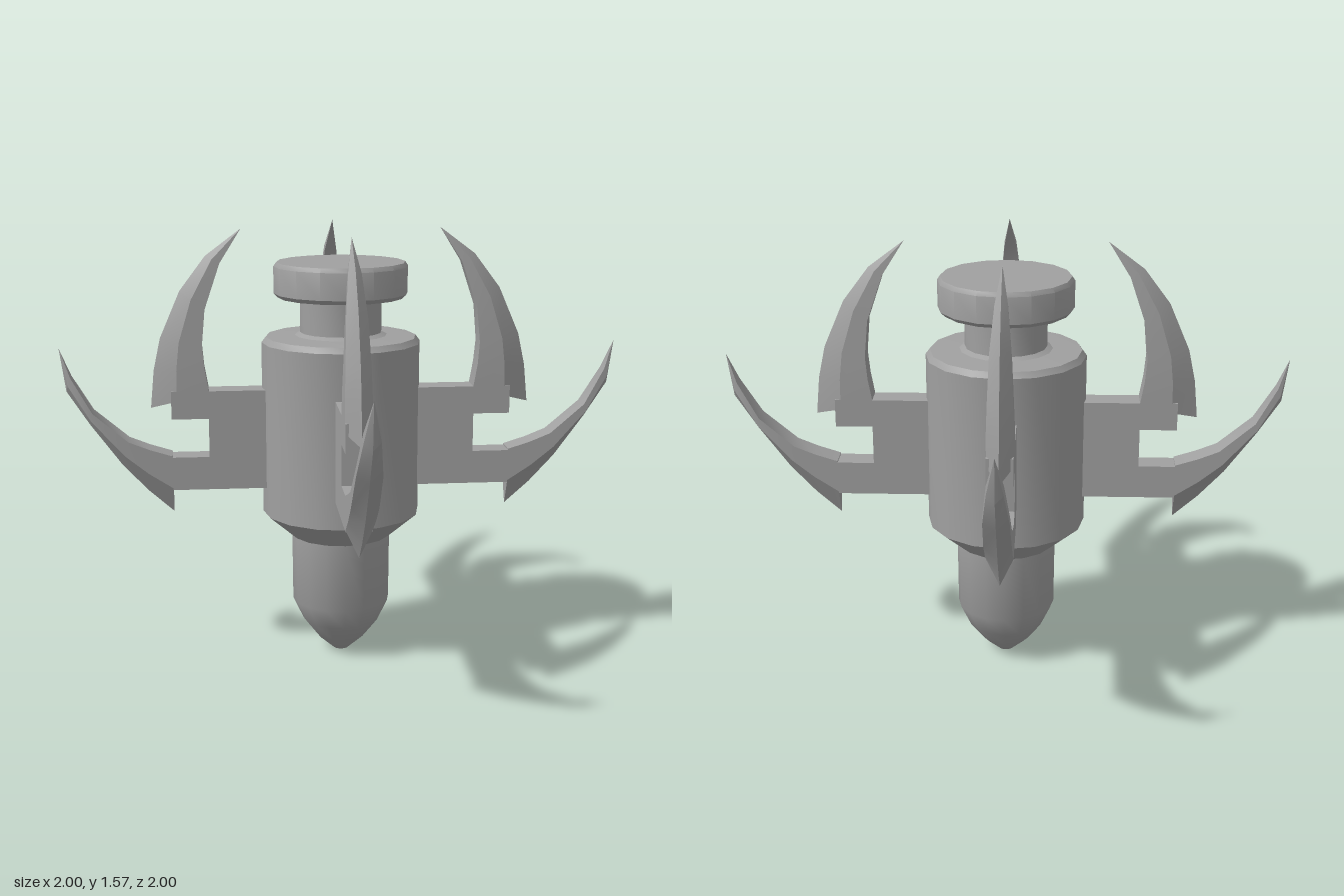
import * as THREE from 'three';
import { toCreasedNormals } from 'three/addons/utils/BufferGeometryUtils.js';

const HALF = 0.045; // half thickness of the arms

// Loft a blade: each section is [innerX, innerY, outerX, outerY, halfThickness].
// The inner edge is flat, the outer edge sharp.
function bladeGeometry(sections) {
  const pos = [], idx = [], n = 5;
  for (const [ix, iy, ox, oy, t] of sections) {
    const mx = ix + (ox - ix) * 0.55, my = iy + (oy - iy) * 0.55;
    pos.push(ix, iy, t, mx, my, t, ox, oy, 0, mx, my, -t, ix, iy, -t);
  }
  for (let s = 0; s < sections.length - 1; s++) {
    for (let k = 0; k < n; k++) {
      const a = s * n + k, b = s * n + (k + 1) % n;
      idx.push(a, b, b + n);
      if (s < sections.length - 2) idx.push(a, b + n, a + n);
    }
  }
  for (let k = 1; k < n - 1; k++) idx.push(0, k + 1, k); // base cap
  const g = new THREE.BufferGeometry();
  g.setAttribute('position', new THREE.Float32BufferAttribute(pos, 3));
  g.setIndex(idx);
  return toCreasedNormals(g, 0.45);
}

const upperBlade = bladeGeometry([
  [0.476, 1.0, 0.683, 0.935, HALF],
  [0.49, 1.08, 0.67, 1.07, HALF],
  [0.497, 1.16, 0.645, 1.185, 0.042],
  [0.485, 1.29, 0.572, 1.353, 0.036],
  [0.43, 1.45, 0.48, 1.475, 0.022],
  [0.353, 1.57, 0.353, 1.57, 0],
]);

const lowerBlade = bladeGeometry([
  [0.61, 0.765, 0.61, 0.55, HALF],
  [0.69, 0.79, 0.70, 0.63, HALF],
  [0.765, 0.82, 0.79, 0.727, HALF],
  [0.888, 0.925, 0.90, 0.877, 0.042],
  [0.962, 1.053, 0.979, 1.0, 0.027],
  [1.0, 1.155, 1.0, 1.155, 0],
]);

// Box spanning x0..x1, y0..y1 in the plane of an arm
function slab(x0, x1, y0, y1) {
  const g = new THREE.BoxGeometry(x1 - x0, y1 - y0, HALF * 2);
  return g.translate((x0 + x1) / 2, (y0 + y1) / 2, 0);
}

export function createModel() {
  const metal = new THREE.MeshStandardMaterial({ color: 0xa0a0a0 });
  metal.name = 'grey metal';
  const model = new THREE.Group();
  model.name = 'clawedDevice';

  const add = (parent, name, geometry) => {
    const mesh = new THREE.Mesh(geometry, metal);
    mesh.name = name;
    parent.add(mesh);
  };
  const turned = (points) => toCreasedNormals(
    new THREE.LatheGeometry(points.map(([r, y]) => new THREE.Vector2(r, y)), 16), 0.6);

  // Central turned body
  const core = new THREE.Group();
  core.name = 'core';
  core.position.z = -0.018;
  model.add(core);
  add(core, 'body', turned([
    [0, 0], [0.028, 0], [0.085, 0.05], [0.14, 0.12], [0.178, 0.2], [0.18, 0.45],
    [0.285, 0.54], [0.285, 1.165], [0.27, 1.185], [0.17, 1.19], [0, 1.19],
  ]));
  add(core, 'neck', turned([[0.175, 1.185], [0.146, 1.2], [0.146, 1.335]]));
  add(core, 'cap', turned([
    [0, 1.325], [0.225, 1.325], [0.24, 1.34], [0.24, 1.435], [0.23, 1.45], [0, 1.45],
  ]));

  // Four identical clawed arms
  ['left', 'back', 'right', 'front'].forEach((side, i) => {
    const arm = new THREE.Group();
    arm.name = side + 'Arm';
    arm.rotation.y = i * Math.PI / 2;
    if (i % 2 === 0) arm.position.z = -0.01;
    add(arm, 'bracket', slab(0.2, 0.478, 0.64, 1.0));
    add(arm, 'upperShank', slab(0.478, 0.61, 0.9, 1.0));
    add(arm, 'lowerShank', slab(0.478, 0.61, 0.64, 0.76));
    add(arm, 'upperBlade', upperBlade);
    add(arm, 'lowerBlade', lowerBlade);
    model.add(arm);
  });
  return model;
}
